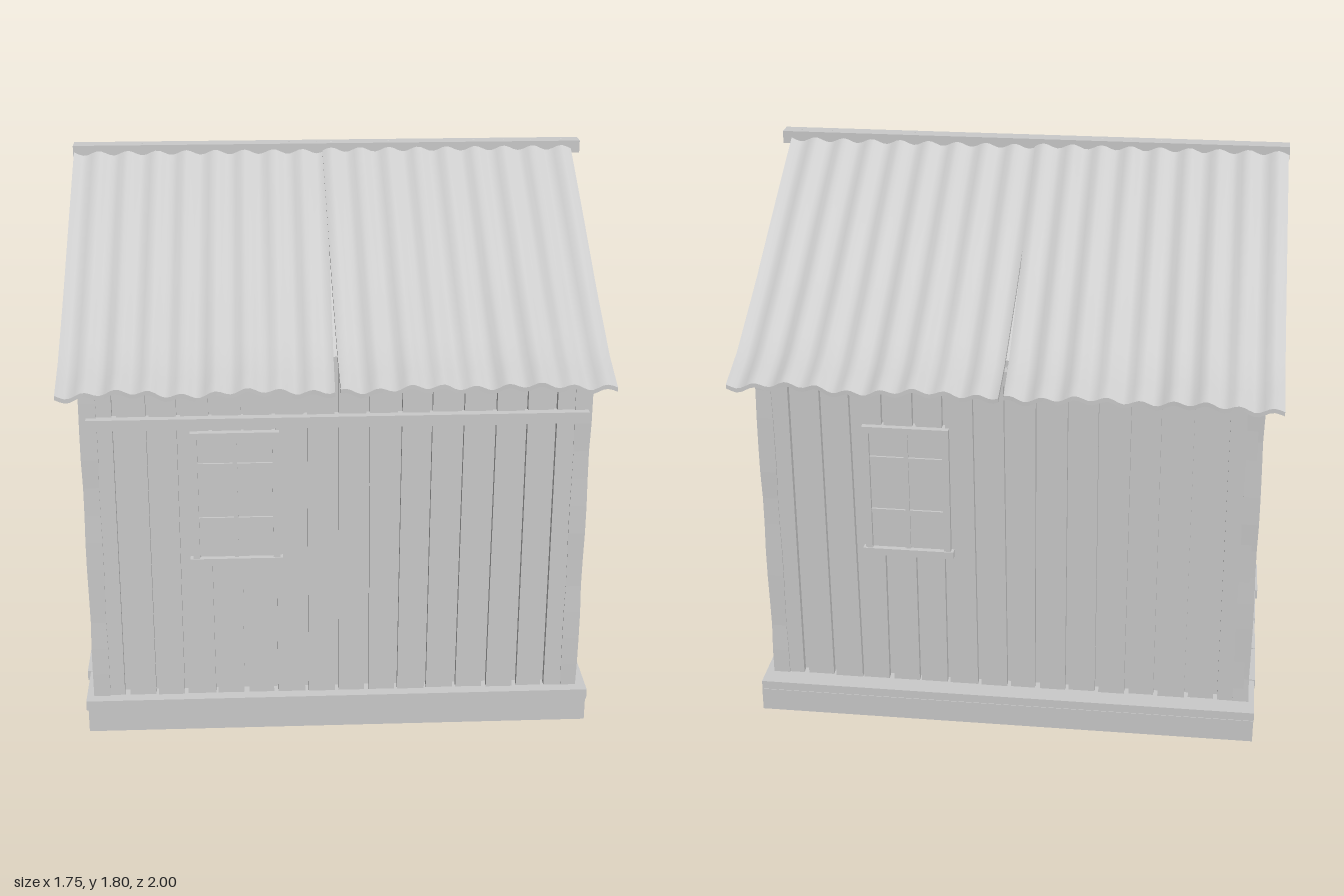
import * as THREE from 'three';

const flat = new THREE.MeshStandardMaterial({ color: 0xcccccc, flatShading: true });
const smooth = new THREE.MeshStandardMaterial({ color: 0xcccccc });

// Seeded random in -1..1
let seed = 7;
const rnd = () => {
  seed = (seed * 16807) % 2147483647;
  return (seed / 2147483647) * 2 - 1;
};

// Roof section: distance from the ridge -> height of the outer skin
const PROFILE = [[0, 1.79], [0.3, 1.62], [0.6, 1.445], [0.86, 1.31], [1, 1.262]];
function roofY(d) {
  d = Math.min(Math.abs(d), 0.9999);
  const i = PROFILE.findIndex((p) => p[0] > d);
  const [a, b] = [PROFILE[i - 1], PROFILE[i]];
  return THREE.MathUtils.mapLinear(d, a[0], b[0], a[1], b[1]);
}

function add(parent, name, geometry, material = flat) {
  const mesh = new THREE.Mesh(geometry, material);
  mesh.name = name;
  parent.add(mesh);
  return mesh;
}

// Box given by its lower and upper limits on each axis
function box(parent, name, x0, x1, y0, y1, z0, z1) {
  const mesh = add(parent, name, new THREE.BoxGeometry(x1 - x0, y1 - y0, z1 - z0));
  mesh.position.set((x0 + x1) / 2, (y0 + y1) / 2, (z0 + z1) / 2);
  return mesh;
}

function slab(points, depth) {
  const shape = new THREE.Shape(points.map(([x, y]) => new THREE.Vector2(x, y)));
  return new THREE.ExtrudeGeometry(shape, { depth, bevelEnabled: false });
}

// Wall of uneven vertical planks, facing local +z
function plankWall(name, half, topAt) {
  const wall = new THREE.Group();
  wall.name = name;
  const count = 2 * Math.round(half / 0.102);
  const pitch = (2 * half) / count;
  for (let i = 0; i < count; i++) {
    const x0 = -half + i * pitch, x1 = x0 + pitch;
    const gap = () => 0.006 + 0.004 * rnd();
    const [a, b, c, d] = [x0 + gap(), x1 - gap(), x1 - gap(), x0 + gap()];
    const plank = add(wall, 'plank', slab([[a, 0.1], [b, 0.1], [c, topAt(c)], [d, topAt(d)]], 0.022));
    plank.position.z = 0.003 * rnd();
  }
  return wall;
}

// Framed window with two by three panes
function windowFrame(wall, x) {
  const win = new THREE.Group();
  win.name = 'window';
  const [w, y0, y1] = [0.14, 0.61, 1.07];
  box(win, 'pane', -w, w, y0, y1, 0, 0.028);
  for (const s of [-1, 1]) box(win, 'frameSide', s * 0.13 - 0.011, s * 0.13 + 0.011, y0, y1, 0.01, 0.042);
  box(win, 'frameTop', -w, w, y1 - 0.022, y1, 0.01, 0.042);
  box(win, 'sill', -0.15, 0.15, y0 - 0.005, y0 + 0.02, 0.01, 0.046);
  box(win, 'uprightBar', -0.007, 0.007, y0, y1, 0.02, 0.035);
  for (const y of [0.765, 0.955]) box(win, 'crossBar', -w, w, y - 0.007, y + 0.007, 0.02, 0.035);
  win.position.x = x;
  wall.add(win);
}

// Rafter pair tucked under the roof at a gable
function rafters(wall) {
  const ds = [-0.84, -0.6, -0.3, 0, 0.3, 0.6, 0.84];
  const upper = ds.map((d) => [d, roofY(d) - 0.02]);
  const lower = ds.map((d) => [d, roofY(d) - 0.045]).reverse();
  add(wall, 'rafters', slab([...lower, ...upper], 0.032));
}

// Corrugated sheet running from the ridge (z = 0) to the eave (z = 1)
function roofSheet(parent, x0, x1, lift) {
  const geo = new THREE.BoxGeometry(1, 0.014, 1, 56, 1, 14);
  const p = geo.attributes.position;
  for (let i = 0; i < p.count; i++) {
    const t = p.getZ(i) + 0.5;
    // The inner edge draws back near the eave, opening a slit at the seam
    const inner = 0.006 * (1 - 2.4 * t);
    const left = x0 < -0.5 ? x0 : x0 - inner;
    const right = x1 > 0.5 ? x1 : x1 + inner;
    const x = THREE.MathUtils.lerp(left, right, p.getX(i) + 0.5);
    const wave = 0.008 * Math.sin((x / 0.1) * Math.PI * 2);
    const wear = 0.006 * t * t * Math.sin(x * 17 + lift * 900);
    p.setXYZ(i, x, roofY(t) - 0.008 + p.getY(i) + wave + wear + lift, t * 0.99 + 0.008 * t * Math.sin(x * 11));
  }
  geo.computeVertexNormals();
  add(parent, 'roofSheet', geo, smooth);
}

// Corner post with worn edges
function cornerPost(parent, x, z) {
  const geo = new THREE.BoxGeometry(0.055, 1.17, 0.05, 1, 12, 1);
  const p = geo.attributes.position;
  for (let i = 0; i < p.count; i++) {
    const y = p.getY(i);
    const k = 1 - 0.1 * Math.max(0, Math.sin(y * 15 + x * 3 + z * 2));
    p.setX(i, p.getX(i) * k);
    p.setZ(i, p.getZ(i) * k);
  }
  add(parent, 'cornerPost', geo).position.set(x, 0.685, z);
}

export function createModel() {
  const house = new THREE.Group();
  house.name = 'cabin';

  // Base frame and the crossed braces beneath the floor
  box(house, 'baseBeamFront', -0.84, 0.83, 0, 0.08, 0.79, 0.87);
  box(house, 'baseBeamBack', -0.84, 0.83, 0, 0.08, -0.9, -0.82);
  box(house, 'baseBeamLeft', 0.75, 0.825, 0.004, 0.08, -0.85, 0.83);
  box(house, 'baseBeamRight', -0.835, -0.76, 0.004, 0.08, -0.85, 0.83);
  for (const s of [-1, 1]) {
    const brace = box(house, 'floorBrace', -1.13, 1.13, 0.015, 0.075, -0.025, 0.025);
    brace.rotation.y = s * Math.atan2(0.84, 0.8);
    brace.position.x = -0.005;
  }

  // Floorboards running from side to side
  for (let i = 0; i < 9; i++) {
    const z = -0.9 + i * 0.197;
    const drop = 0.003 * rnd();
    box(house, 'floorboard', -0.85 + 0.01 * rnd(), 0.832 + 0.006 * rnd(), 0.078 + drop, 0.113 + drop, z + 0.002, z + 0.195);
  }

  // Backing behind the plank gaps
  const ds = [-0.8, -0.6, -0.3, 0, 0.3, 0.6, 0.8];
  const core = add(house, 'innerWalls',
    slab([[-0.8, 0.11], [0.8, 0.11], ...ds.map((d) => [d, roofY(d) - 0.04]).reverse()], 1.54));
  core.rotation.y = Math.PI / 2;
  core.position.x = -0.78;

  // Plank walls
  const eave = () => 1.29;
  const gable = (d) => roofY(d) - 0.03;
  const front = plankWall('frontWall', 0.8, eave);
  front.position.set(-0.01, 0, 0.812);
  const back = plankWall('backWall', 0.8, eave);
  back.position.set(-0.01, 0, -0.808);
  back.rotation.y = Math.PI;
  const left = plankWall('leftGable', 0.82, gable);
  left.position.set(0.772, 0, 0);
  left.rotation.y = Math.PI / 2;
  const right = plankWall('rightGable', 0.82, gable);
  right.position.set(-0.792, 0, 0);
  right.rotation.y = -Math.PI / 2;
  house.add(front, back, left, right);

  windowFrame(front, -0.325);
  windowFrame(back, -0.325);
  windowFrame(right, 0.22);

  // Wall beams and rafters
  box(front, 'frontBeam', -0.79, 0.8, 1.085, 1.122, 0.01, 0.048);
  box(back, 'eaveBeam', -0.82, 0.82, 1.235, 1.285, 0.01, 0.045);
  for (const wall of [left, right]) {
    box(wall, 'gableBeam', -0.85, 0.855, 1.245, 1.292, 0.01, 0.05);
    rafters(wall);
  }

  for (const x of [-0.795, 0.775]) for (const z of [-0.808, 0.813]) cornerPost(house, x, z);

  // Two corrugated sheets on each slope, and the ridge beam
  for (const turn of [0, Math.PI]) {
    const slope = new THREE.Group();
    slope.name = turn ? 'backRoof' : 'frontRoof';
    roofSheet(slope, -0.86, 0, 0);
    roofSheet(slope, 0, 0.86, 0.004);
    slope.rotation.y = turn;
    slope.position.x = -0.015;
    house.add(slope);
  }
  box(house, 'ridgeBeam', -0.878, 0.875, 1.757, 1.8, -0.028, 0.028);

  return house;
}
